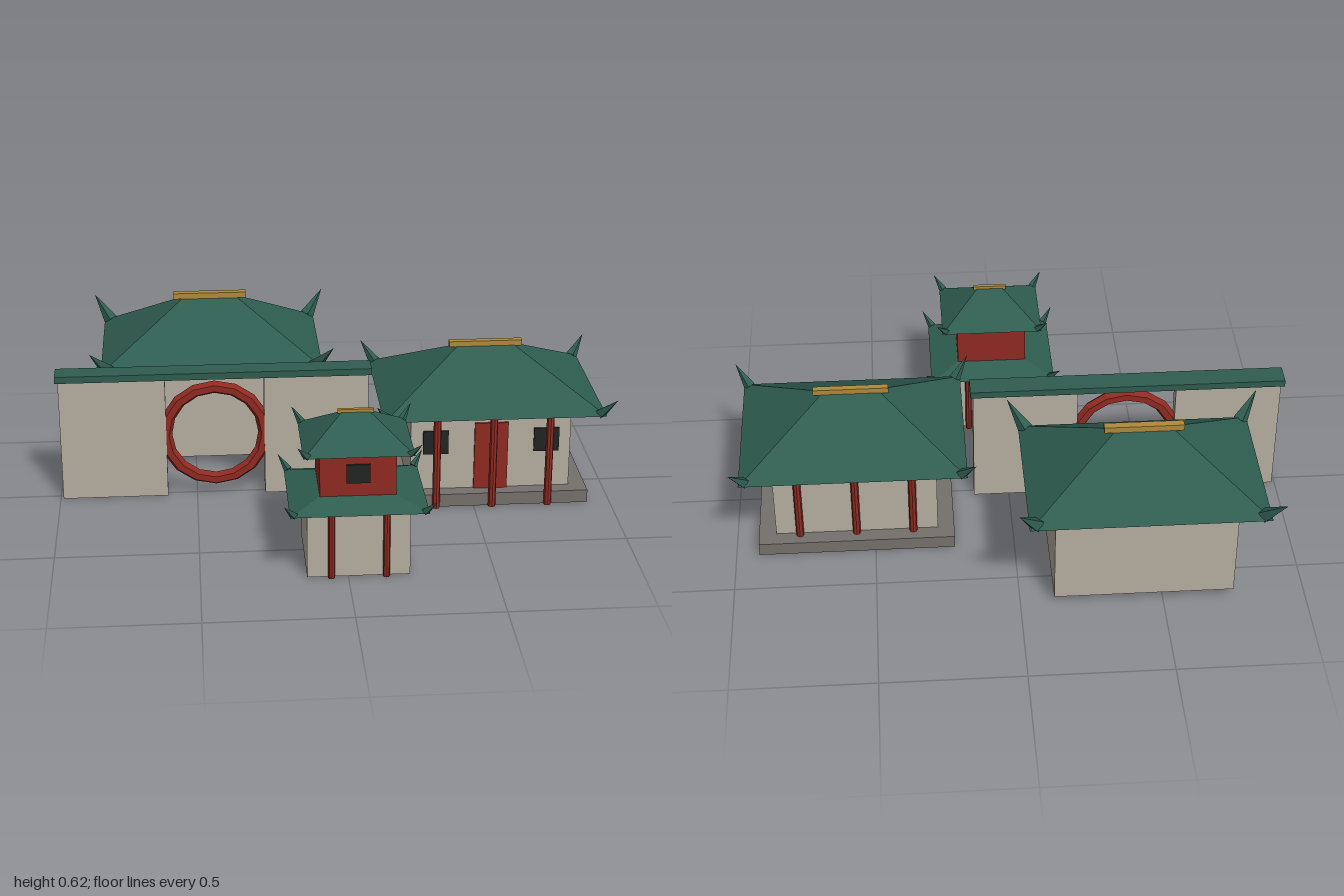
import * as THREE from 'three';

const material = (name, color) => {
  const m = new THREE.MeshStandardMaterial({ color, flatShading: true });
  m.name = name;
  return m;
};

export function createModel() {
  const plaster = material('plaster', 0xb5ada0);
  const tile = material('green tile', 0x2f5d50);
  const red = material('red lacquer', 0x8f2a21);
  const dark = material('dark window', 0x222423);
  const gold = material('ridge gold', 0xb08a3c);
  const stone = material('stone', 0x75716d);

  const group = (name, parent) => {
    const g = new THREE.Group();
    g.name = name;
    parent.add(g);
    return g;
  };
  const add = (parent, name, geometry, mat) => {
    const mesh = new THREE.Mesh(geometry, mat);
    mesh.name = name;
    parent.add(mesh);
    return mesh;
  };
  // Box given by its low and high limits on each axis
  const box = (parent, name, mat, x0, x1, y0, y1, z0, z1) =>
    add(parent, name, new THREE.BoxGeometry(x1 - x0, y1 - y0, z1 - z0), mat)
      .position.set((x0 + x1) / 2, (y0 + y1) / 2, (z0 + z1) / 2);
  const column = (parent, x, z, y1, r) =>
    add(parent, 'column', new THREE.CylinderGeometry(r, r, y1, 8), red).position.set(x, y1 / 2, z);

  // Hipped roof: a box whose top is drawn in to a ridge, with a horn at each corner
  const UP = new THREE.Vector3(0, 1, 0);
  const roof = (parent, name, o) => {
    const g = group(name, parent);
    g.position.set(o.x, o.y0, o.z);
    const h = o.y1 - o.y0;
    const geo = new THREE.BoxGeometry(2, h, 2).translate(0, h / 2, 0);
    const p = geo.attributes.position;
    for (let i = 0; i < p.count; i++) {
      const top = p.getY(i) > h / 2;
      p.setX(i, p.getX(i) * (top ? o.topX : o.hx));
      p.setZ(i, p.getZ(i) * (top ? o.topZ : o.hz));
    }
    geo.computeVertexNormals();
    add(g, 'tiledSlopes', geo, tile);

    for (const sx of [-1, 1]) for (const sz of [-1, 1]) {
      const base = new THREE.Vector3(sx * (o.hx - o.horn * 0.7), o.horn * 0.15, sz * (o.hz - o.horn * 0.7));
      const tip = new THREE.Vector3(sx * (o.hx + o.horn), o.horn * 2.5, sz * (o.hz + o.horn));
      const axis = tip.clone().sub(base);
      const horn = add(g, 'cornerHorn', new THREE.ConeGeometry(o.horn * 0.75, axis.length(), 4), tile);
      horn.position.copy(base).add(tip).multiplyScalar(0.5);
      horn.quaternion.setFromUnitVectors(UP, axis.normalize());
    }
    if (o.barX) box(g, 'ridgeBar', gold, -o.barX, o.barX, h - 0.006, h + o.barH, -o.barZ, o.barZ);
  };

  const model = new THREE.Group();
  model.name = 'courtyard';

  // Garden wall with a round gate
  const wall = group('gardenWall', model);
  box(wall, 'wallLeftOfGate', plaster, -0.99, -0.607, 0, 0.46, -0.026, 0.024);
  box(wall, 'wallRightOfGate', plaster, -0.25, 0.13, 0, 0.46, -0.026, 0.024);
  box(wall, 'wallCap', tile, -1, 0.14, 0.46, 0.485, -0.046, 0.038);
  add(wall, 'moonGateRing', new THREE.TorusGeometry(0.181, 0.024, 6, 16), red).position.set(-0.429, 0.236, 0);

  // Plain hall at the back
  const backHall = group('backHall', model);
  box(backHall, 'hallBody', plaster, -0.748, -0.118, 0.03, 0.416, -0.645, -0.253);
  roof(backHall, 'hallRoof', {
    x: -0.433, z: -0.449, hx: 0.41, hz: 0.291, y0: 0.414, y1: 0.606,
    topX: 0.095, topZ: 0.004, horn: 0.037, barX: 0.137, barZ: 0.014, barH: 0.016,
  });

  // Main hall on a stone platform
  const mainHall = group('mainHall', model);
  const cx = 0.566;
  box(mainHall, 'platform', stone, 0.214, 0.918, 0, 0.048, -0.319, 0.194);
  box(mainHall, 'hallBody', plaster, 0.273, 0.856, 0.048, 0.342, -0.262, 0.14);
  box(mainHall, 'door', red, cx - 0.061, cx + 0.061, 0.048, 0.305, 0.14, 0.149);
  for (const s of [-1, 1])
    box(mainHall, 'window', dark, cx + s * 0.202 - 0.046, cx + s * 0.202 + 0.046, 0.188, 0.278, 0.14, 0.147);
  for (const dx of [-0.204, 0, 0.204]) {
    column(mainHall, cx + dx, 0.198, 0.36, 0.014);
    column(mainHall, cx + dx, -0.272, 0.36, 0.014);
  }
  roof(mainHall, 'hallRoof', {
    x: cx, z: -0.066, hx: 0.4, hz: 0.305, y0: 0.356, y1: 0.53,
    topX: 0.098, topZ: 0.004, horn: 0.029, barX: 0.134, barZ: 0.012, barH: 0.015,
  });

  // Two-storey tower at the front
  const tower = group('tower', model);
  const tx = 0.036, tz = 0.553;
  box(tower, 'lowerStorey', plaster, tx - 0.175, tx + 0.175, 0, 0.246, tz - 0.155, tz + 0.155);
  box(tower, 'upperStorey', red, tx - 0.129, tx + 0.129, 0.27, 0.442, tz - 0.112, tz + 0.112);
  box(tower, 'upperWindow', dark, tx - 0.04, tx + 0.04, 0.328, 0.395, tz + 0.112, tz + 0.12);
  for (const sx of [-1, 1]) for (const sz of [-1, 1])
    column(tower, tx + sx * 0.093, tz + sz * 0.164, 0.246, 0.012);
  roof(tower, 'lowerRoof', {
    x: tx, z: tz, hx: 0.234, hz: 0.198, y0: 0.244, y1: 0.279,
    topX: 0.131, topZ: 0.113, horn: 0.02,
  });
  roof(tower, 'upperRoof', {
    x: tx, z: tz, hx: 0.187, hz: 0.159, y0: 0.439, y1: 0.541,
    topX: 0.045, topZ: 0.003, horn: 0.02, barX: 0.061, barZ: 0.007, barH: 0.008,
  });
  return model;
}
